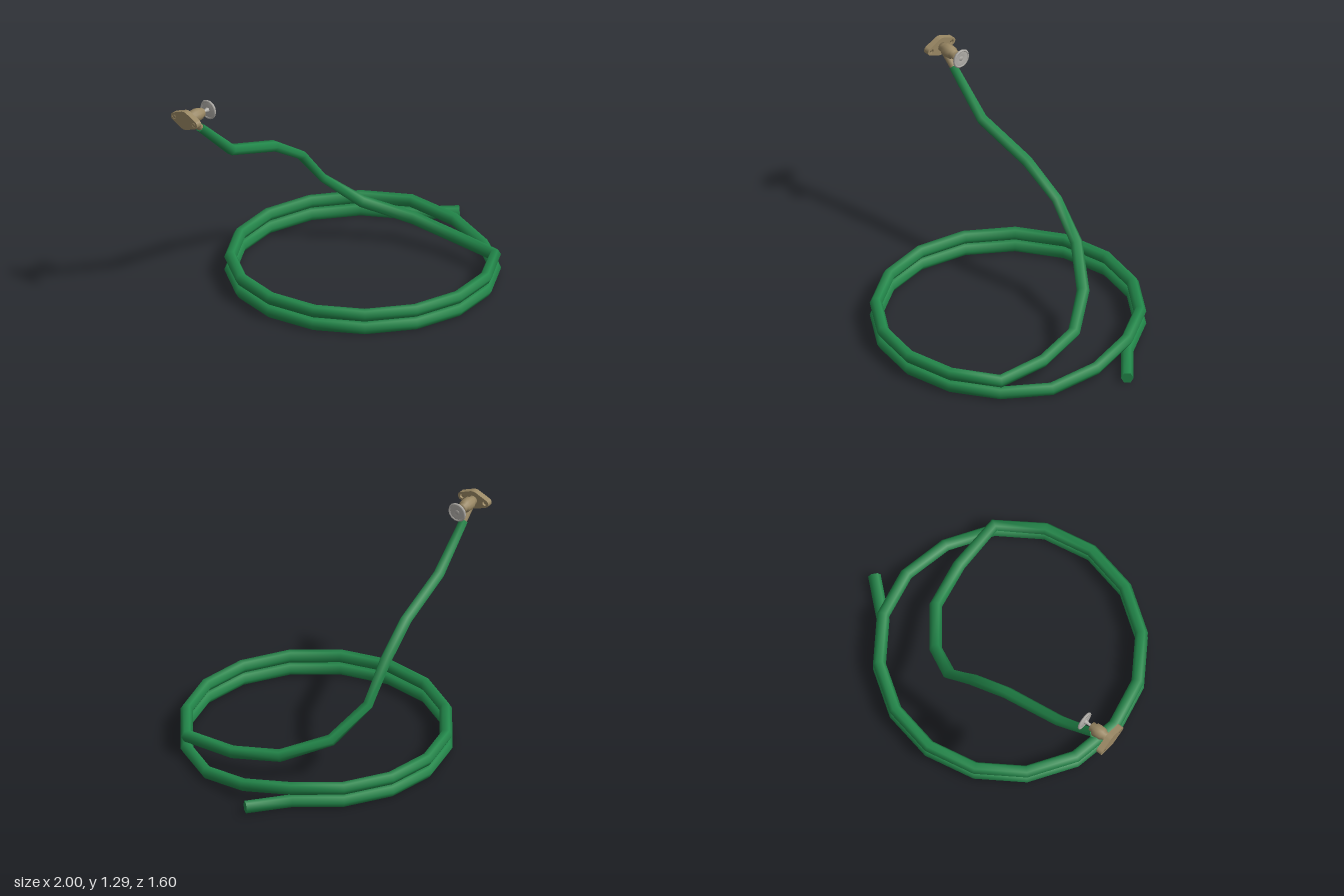
import * as THREE from 'three';

const green = new THREE.MeshStandardMaterial({ color: 0x22874a });
green.name = 'hose green';
const brass = new THREE.MeshStandardMaterial({ color: 0x9a8864 });
brass.name = 'dull brass';
const steel = new THREE.MeshStandardMaterial({ color: 0xb2afaa });
steel.name = 'wheel grey';

const TAP_Y = 1.23, TAP_Z = -0.407;

// Six-sided tube through straight segments, with flat end caps.
// Each station holds its centre p, half width w and half height h.
function hexTube(stations) {
  const sides = 6, pos = [], idx = [];
  const up = new THREE.Vector3(0, 1, 0);
  const n = stations.length;
  const rings = stations.map(({ p, w, h }, i) => {
    const a = stations[Math.max(i - 1, 0)].p, b = stations[Math.min(i + 1, n - 1)].p;
    const dirIn = p.clone().sub(a).normalize(), dirOut = b.clone().sub(p).normalize();
    const t = dirIn.add(dirOut).normalize();
    const side = t.clone().cross(up).normalize();
    const top = side.clone().cross(t);
    return Array.from({ length: sides }, (_, k) => {
      const ang = k / sides * Math.PI * 2;
      return p.clone().addScaledVector(side, Math.cos(ang) * w)
        .addScaledVector(top, Math.sin(ang) * h);
    });
  });
  rings.forEach((ring) => ring.forEach((v) => pos.push(v.x, v.y, v.z)));
  for (let i = 0; i < n - 1; i++) {
    for (let k = 0; k < sides; k++) {
      const a = i * sides + k, b = i * sides + (k + 1) % sides;
      idx.push(a, a + sides, b, b, a + sides, b + sides);
    }
  }
  // Caps have their own corners so their edges stay sharp
  for (const end of [0, n - 1]) {
    const base = pos.length / 3;
    rings[end].forEach((v) => pos.push(v.x, v.y, v.z));
    for (let k = 1; k < sides - 1; k++) {
      if (end === 0) idx.push(base, base + k, base + k + 1);
      else idx.push(base, base + k + 1, base + k);
    }
  }
  const geo = new THREE.BufferGeometry();
  geo.setAttribute('position', new THREE.Float32BufferAttribute(pos, 3));
  geo.setIndex(idx);
  geo.computeVertexNormals();
  return geo;
}

// Hose route: loose end, two stacked coils, then the climb to the tap
function hoseStations() {
  const r = 0.037, low = 0.035, high = 0.117;
  const stations = [];
  const add = (x, y, z, w = r, h = r) => stations.push({ p: new THREE.Vector3(x, y, z), w, h });
  add(0.975, low, -0.107);
  for (let i = 1; i <= 30; i++) {
    const a = i * Math.PI / 8;
    const y = i < 16 ? low : i === 16 ? (low + high) / 2 : high;
    add(0.063 + 0.762 * Math.cos(a), y, -0.762 * Math.sin(a));
  }
  add(0.61, 0.118, 0.22);
  add(0.555, 0.16, -0.07);
  add(0.372, 0.25, -0.305, r, 0.034);
  // The hose is a little flattened on the steep stretch
  add(0.175, 0.43, -0.43, r, 0.027);
  add(0, 0.64, -0.435, r, 0.029);
  add(-0.24, 0.79, -0.42, r, 0.034);
  add(-0.61, 0.905, -0.402, 0.035, 0.034);
  // Slimmer where it pushes onto the spout
  add(-0.865, 1.14, TAP_Z, 0.028, 0.028);
  return stations;
}

// Turned part along x; profile rows are [radius, x]
function turned(name, profile, material, segments = 12) {
  const geo = new THREE.LatheGeometry(profile.map(([r, x]) => new THREE.Vector2(r, x)), segments);
  geo.rotateZ(-Math.PI / 2);
  const mesh = new THREE.Mesh(geo, material);
  mesh.name = name;
  return mesh;
}

// Diamond wall plate with a bolt sunk in a hole at each end
function wallFlange() {
  const group = new THREE.Group();
  group.name = 'wallFlange';
  const s = new THREE.Shape();
  const lean = 1.13; // angle where the straight edges meet the arcs
  s.absarc(0, 0, 0.056, lean, Math.PI - lean, false);
  s.absarc(-0.08, 0, 0.025, Math.PI - lean, Math.PI + lean, false);
  s.absarc(0, 0, 0.056, Math.PI + lean, -lean, false);
  s.absarc(0.08, 0, 0.025, -lean, lean, false);
  for (const z of [-0.077, 0.077]) {
    const hole = new THREE.Path();
    hole.absarc(z, 0, 0.014, 0, Math.PI * 2, true);
    s.holes.push(hole);
    const bolt = turned('flangeBolt', [[0, -0.998], [0.014, -0.998], [0.014, -0.978], [0, -0.978]], brass, 8);
    bolt.position.z = z;
    group.add(bolt);
  }
  const geo = new THREE.ExtrudeGeometry(s, { depth: 0.036, bevelEnabled: false, curveSegments: 6 });
  geo.rotateY(Math.PI / 2);
  const plate = new THREE.Mesh(geo, brass);
  plate.name = 'flangePlate';
  plate.position.x = -1;
  group.add(plate);
  return group;
}

// Straight tapered cylinder between two points
function rod(name, a, b, r0, r1, material) {
  const d = b.clone().sub(a);
  const mesh = new THREE.Mesh(new THREE.CylinderGeometry(r1, r0, d.length(), 10), material);
  mesh.position.copy(a).addScaledVector(d, 0.5);
  mesh.quaternion.setFromUnitVectors(new THREE.Vector3(0, 1, 0), d.normalize());
  mesh.name = name;
  return mesh;
}

export function createModel() {
  const model = new THREE.Group();
  model.name = 'gardenHoseAndTap';

  const hose = new THREE.Mesh(hexTube(hoseStations()), green);
  hose.name = 'hose';
  model.add(hose);

  // Tap body, spout and stem
  const tap = new THREE.Group();
  tap.name = 'tap';
  tap.position.set(0, TAP_Y, TAP_Z);
  tap.add(wallFlange());
  tap.add(turned('tapBody', [
    [0, -0.97], [0.028, -0.97], [0.028, -0.945], [0.038, -0.93], [0.04, -0.9], [0.037, -0.872],
    [0.029, -0.87], [0.029, -0.848], [0.016, -0.843], [0, -0.843],
  ], brass));
  tap.add(rod('spout', new THREE.Vector3(-0.935, -0.015, 0), new THREE.Vector3(-0.86, -0.095, 0), 0.025, 0.02, brass));
  tap.add(turned('stem', [
    [0, -0.85], [0.009, -0.85], [0.009, -0.825], [0.016, -0.805], [0.016, -0.796], [0, -0.796],
  ], steel, 8));

  // Handwheel: dished plate with a rounded rim
  const wheel = new THREE.Group();
  wheel.name = 'handwheel';
  wheel.add(turned('wheelPlate', [
    [0, -0.806], [0.02, -0.804], [0.054, -0.8], [0.054, -0.792], [0.02, -0.796], [0, -0.798],
  ], steel, 14));
  const rim = new THREE.Mesh(new THREE.TorusGeometry(0.052, 0.008, 6, 14), steel);
  rim.name = 'wheelRim';
  rim.rotation.y = Math.PI / 2;
  rim.position.x = -0.797;
  wheel.add(rim);
  tap.add(wheel);
  model.add(tap);
  return model;
}
